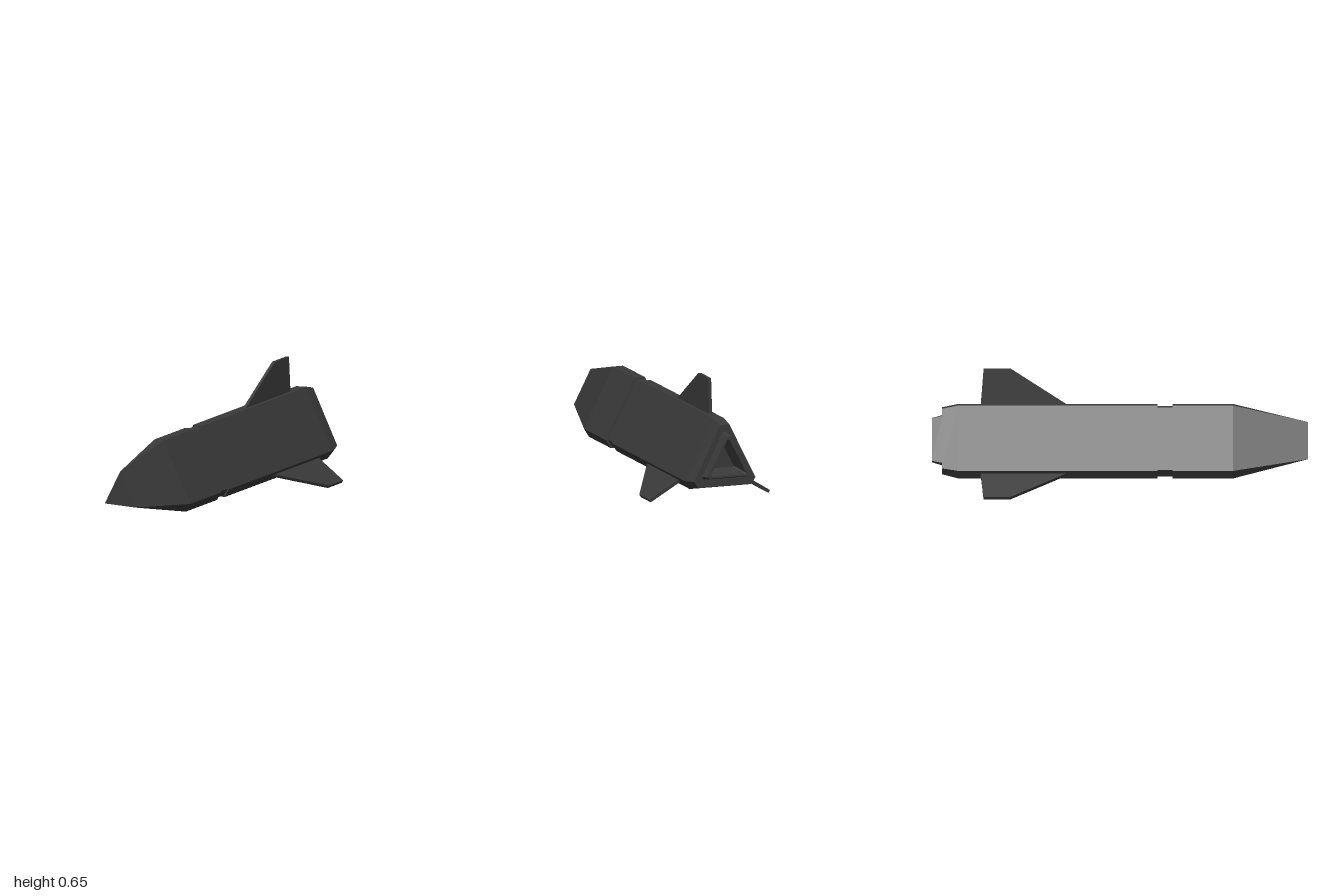
import * as THREE from 'three';

// Clipped-triangle cross-section: top, side and bottom corner pairs
function ring(z, topX, topY, sideX, sideY, botX, botY) {
  return [
    [topX, topY, z], [-topX, topY, z], [-sideX, sideY, z],
    [-botX, botY, z], [botX, botY, z], [sideX, sideY, z],
  ];
}

const full = (z) => ring(z, 0.028, 0.458, 0.195, 0.132, 0.167, 0.087);
const inset = (z) => ring(z, 0.026, 0.448, 0.186, 0.135, 0.16, 0.096);

// Skin over rings listed from front to back
function loft(rings, capFront, capBack) {
  const pos = [];
  const tri = (a, b, c) => pos.push(...a, ...b, ...c);
  for (let i = 0; i < rings.length - 1; i++) {
    const f = rings[i], b = rings[i + 1];
    for (let j = 0; j < 6; j++) {
      const k = (j + 1) % 6;
      tri(f[j], b[j], b[k]);
      tri(f[j], b[k], f[k]);
    }
  }
  const first = rings[0], last = rings[rings.length - 1];
  for (let j = 1; j < 5; j++) {
    if (capFront) tri(first[0], first[j], first[j + 1]);
    if (capBack) tri(last[0], last[j + 1], last[j]);
  }
  const g = new THREE.BufferGeometry();
  g.setAttribute('position', new THREE.Float32BufferAttribute(pos, 3));
  g.computeVertexNormals();
  return g;
}

export function createModel() {
  const group = new THREE.Group();
  const hull = new THREE.MeshStandardMaterial({ color: 0x393939 });
  hull.name = 'charcoal';
  hull.flatShading = true;

  const add = (name, geometry) => {
    const mesh = new THREE.Mesh(geometry, hull);
    mesh.name = name;
    group.add(mesh);
    return mesh;
  };

  // Nose tapering to a plain triangle
  add('nose', loft([
    ring(1, 0, 0.365, 0.095, 0.18, 0.095, 0.18),
    full(0.6), full(0.28),
  ], true, true));

  // Recessed joint between nose and body
  add('collar', loft([inset(0.285), inset(0.195)], false, false));

  // Body with bevelled tail, ending in a rim around the nozzle
  const nozzleRoot = ring(-0.945, 0.012, 0.4, 0.13, 0.165, 0.12, 0.15);
  add('body', loft([
    full(0.2), full(-0.86),
    ring(-0.945, 0.026, 0.44, 0.175, 0.142, 0.15, 0.107),
    nozzleRoot,
  ], true, false));

  // Hollow exhaust nozzle
  add('nozzle', loft([
    nozzleRoot,
    ring(-1, 0.008, 0.385, 0.117, 0.174, 0.111, 0.165),
    ring(-1, 0.006, 0.368, 0.102, 0.181, 0.097, 0.174),
    ring(-0.91, 0.004, 0.32, 0.065, 0.205, 0.061, 0.2),
  ], false, true));

  // Three swept fins: x runs outward, z along the body
  const outline = new THREE.Shape([
    [-0.02, -0.249], [0.193, -0.58], [0.193, -0.725], [-0.02, -0.742],
  ].map(([r, z]) => new THREE.Vector2(r, z)).reverse());
  const thickness = 0.017;
  const finGeometry = new THREE.ExtrudeGeometry(outline, { depth: thickness, bevelEnabled: false });
  finGeometry.translate(0, 0, -thickness / 2);
  finGeometry.rotateX(Math.PI / 2);

  const fins = [
    ['topFin', 0, 0.457, 90],
    ['leftFin', 0.177, 0.111, -32],
    ['rightFin', -0.177, 0.111, 212],
  ];
  for (const [name, x, y, angle] of fins) {
    const fin = add(name, finGeometry);
    fin.position.set(x, y, 0);
    fin.rotation.z = THREE.MathUtils.degToRad(angle);
  }

  return group;
}
